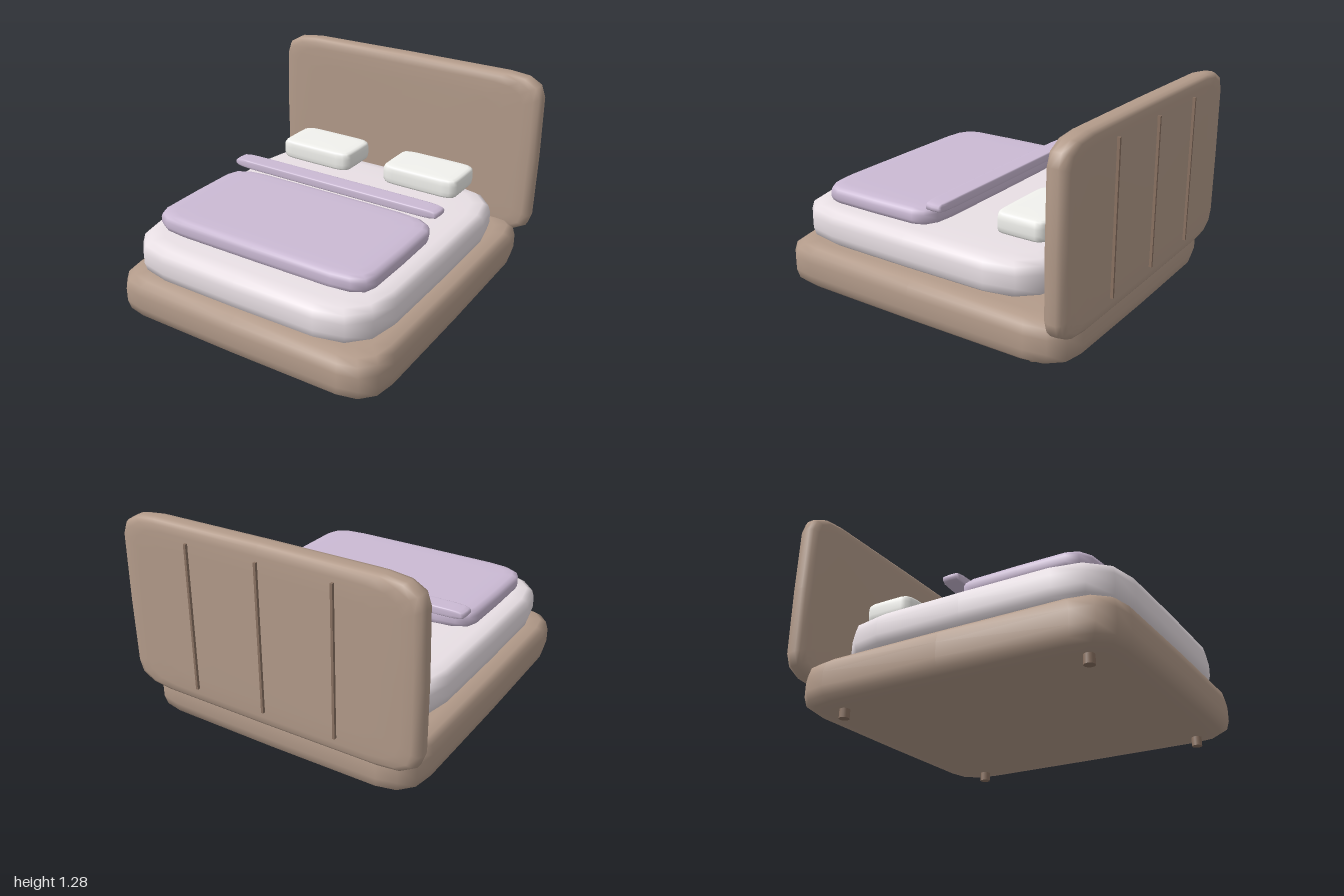
import * as THREE from 'three';

const mat = (color) => new THREE.MeshStandardMaterial({ color });
const WOOD = mat(0xb39b8a), DARK = mat(0x8a7262), SHEET = mat(0xe9e0e5);
const LILAC = mat(0xcbbad4), WHITE = mat(0xf2f2ee);

// One quarter of the plan outline on a unit square, corner fraction c
const quarter = (c) => [
  [1, 0], [0.993, 1 - c], [1 - 0.13 * c, 1 - 0.46 * c],
  [1 - 0.46 * c, 1 - 0.13 * c], [1 - c, 0.996],
];

// Edge profile through the thickness: [outline scale, height]
const half = [[0, 1], [0.7, 1], [0.88, 0.975], [0.95, 0.9], [0.985, 0.7], [0.998, 0.3]];
const PROFILE = [...half.map(([s, t]) => [s, -t]), ...half.slice().reverse()];

// Soft padded slab, lofted from bottom to top
function slab(w, h, d, c) {
  const q = quarter(c);
  const outline = [];
  for (let k = 0; k < 4; k++) {
    for (const [a, b] of q) {
      outline.push([[a, b], [-b, a], [-a, -b], [b, -a]][k]);
    }
  }
  const n = outline.length, pos = [], idx = [];
  for (const [s, t] of PROFILE) {
    for (const [x, z] of outline) pos.push(x * s * w / 2, t * h / 2, z * s * d / 2);
  }
  const last = PROFILE.length - 2;
  for (let r = 0; r <= last; r++) {
    for (let i = 0; i < n; i++) {
      const a = r * n + i, b = r * n + (i + 1) % n;
      if (r < last) idx.push(a, a + n, b + n);
      else idx.push(a, a + n, b);
      if (r > 0 && r < last) idx.push(a, b + n, b);
    }
  }
  const g = new THREE.BufferGeometry();
  g.setAttribute('position', new THREE.Float32BufferAttribute(pos, 3));
  g.setIndex(idx);
  g.computeVertexNormals();
  return g;
}

export function createModel() {
  const bed = new THREE.Group();
  bed.name = 'bed';
  const add = (name, geometry, material, x, y, z) => {
    const m = new THREE.Mesh(geometry, material);
    m.name = name;
    m.position.set(x, y, z);
    bed.add(m);
    return m;
  };

  // Frame and bedding, stacked upward
  add('base', slab(1.76, 0.27, 1.96, 0.24), WOOD, 0, 0.185, 0.02);
  add('mattress', slab(1.62, 0.225, 1.72, 0.38), SHEET, 0, 0.437, 0.1);
  add('duvet', slab(1.42, 0.11, 0.8, 0.3), LILAC, 0, 0.605, 0.39);
  add('duvetFold', slab(1.42, 0.052, 0.112, 0.24), LILAC, 0, 0.691, -0.034);

  // Upright headboard
  const headboard = slab(1.86, 0.135, 1.05, 0.25);
  headboard.rotateX(Math.PI / 2);
  add('headboard', headboard, WOOD, 0, 0.755, -0.917);

  // Pillows
  for (const side of [-1, 1]) {
    add(side > 0 ? 'leftPillow' : 'rightPillow',
      slab(0.505, 0.12, 0.31, 0.33), WHITE, side * 0.373, 0.663, -0.525);
  }

  // Slim battens on the back of the headboard
  for (const x of [-0.45, 0, 0.45]) {
    add('batten', new THREE.BoxGeometry(0.014, 0.86, 0.026), DARK, x, 0.76, -0.987);
  }

  // Feet
  for (const x of [-0.71, 0.71]) {
    for (const z of [-0.69, 0.785]) {
      add('foot', new THREE.CylinderGeometry(0.03, 0.03, 0.08, 12), DARK, x, 0.04, z);
    }
  }
  return bed;
}
